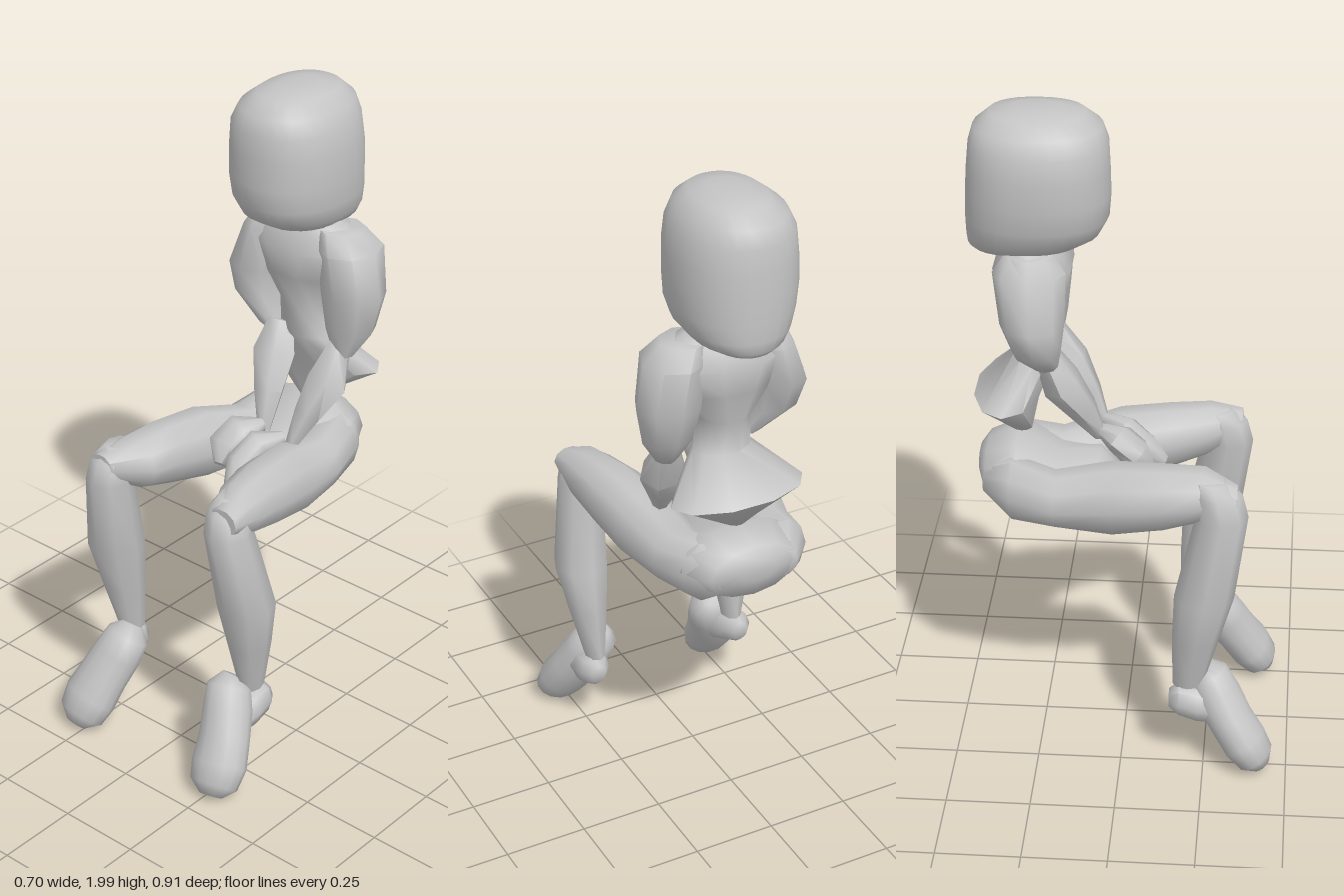
import * as THREE from 'three';
import { toCreasedNormals } from 'three/addons/utils/BufferGeometryUtils.js';

const grey = new THREE.MeshStandardMaterial({ color: 0xc4c4c4 });
grey.name = 'plain grey';

// Closed skin over rings [x, y, z, half width, half depth], each square to the path.
// A fixed axis keeps all rings parallel; power below 1 makes rings boxier.
function loft(name, rings, { sides = 8, axis = null, power = 1, crease = 1.05 } = {}) {
  const centres = rings.map(r => new THREE.Vector3(r[0], r[1], r[2]));
  const pos = [], index = [];
  const bend = v => Math.sign(v) * Math.pow(Math.abs(v), power);
  rings.forEach((r, i) => {
    const t = axis ? axis.clone() : centres[Math.min(i + 1, rings.length - 1)].clone()
      .sub(centres[Math.max(i - 1, 0)]).normalize();
    const side = new THREE.Vector3(1, 0, 0).addScaledVector(t, -t.x).normalize();
    const up = new THREE.Vector3().crossVectors(t, side);
    for (let j = 0; j < sides; j++) {
      const q = (j / sides) * Math.PI * 2;
      const p = centres[i].clone()
        .addScaledVector(side, r[3] * bend(Math.cos(q)))
        .addScaledVector(up, r[4] * bend(Math.sin(q)));
      pos.push(p.x, p.y, p.z);
    }
  });
  const last = rings.length - 1, first = rings.length * sides;
  pos.push(...centres[0].toArray(), ...centres[last].toArray());
  for (let j = 0; j < sides; j++) {
    const k = (j + 1) % sides;
    for (let i = 0; i < last; i++) {
      const a = i * sides, b = a + sides;
      index.push(a + j, a + k, b + j, a + k, b + k, b + j);
    }
    index.push(first, k, j, first + 1, last * sides + j, last * sides + k);
  }
  const g = new THREE.BufferGeometry();
  g.setAttribute('position', new THREE.Float32BufferAttribute(pos, 3));
  g.setIndex(index);
  const mesh = new THREE.Mesh(toCreasedNormals(g, crease), grey);
  mesh.name = name;
  return mesh;
}

export function createModel() {
  const model = new THREE.Group();
  model.name = 'seatedFigure';
  const down = new THREE.Vector3(0, -1, 0);
  const forward = new THREE.Vector3(0, 0, 1);

  // Large boxy head, lowest at the back
  model.add(loft('head', [
    [0.025, 2.0, -0.25, 0.05, 0.07],
    [0.025, 1.988, -0.25, 0.1, 0.135],
    [0.02, 1.95, -0.248, 0.143, 0.182],
    [0.018, 1.9, -0.247, 0.166, 0.198],
    [0.02, 1.83, -0.249, 0.174, 0.203],
    [0.02, 1.75, -0.25, 0.174, 0.206],
    [0.024, 1.68, -0.254, 0.167, 0.204],
    [0.027, 1.63, -0.267, 0.152, 0.19],
    [0.03, 1.598, -0.292, 0.125, 0.162],
    [0.03, 1.58, -0.31, 0.09, 0.13],
  ], { sides: 28, axis: down, power: 0.9, crease: 1.1 }));

  // Torso with broad shoulders, narrow waist and a flared, pointed hem
  model.add(loft('torso', [
    [0.04, 1.63, -0.27, 0.05, 0.05],
    [0.045, 1.59, -0.27, 0.16, 0.08],
    [0.045, 1.52, -0.27, 0.195, 0.118],
    [0.045, 1.43, -0.27, 0.145, 0.1],
    [0.045, 1.33, -0.27, 0.075, 0.075],
    [0.055, 1.23, -0.27, 0.09, 0.065],
    [0.045, 1.115, -0.35, 0.21, 0.1],
    [0.03, 0.99, -0.31, 0.03, 0.03],
  ], { sides: 10, axis: down }));

  // Upper arms
  model.add(loft('leftUpperArm', [
    [0.17, 1.592, -0.27, 0.07, 0.07],
    [0.205, 1.54, -0.27, 0.09, 0.105],
    [0.22, 1.4, -0.27, 0.097, 0.092],
    [0.22, 1.29, -0.26, 0.075, 0.07],
    [0.215, 1.21, -0.24, 0.03, 0.035],
  ], { axis: down }));
  model.add(loft('rightUpperArm', [
    [-0.07, 1.592, -0.27, 0.055, 0.07],
    [-0.08, 1.54, -0.27, 0.075, 0.105],
    [-0.125, 1.4, -0.26, 0.088, 0.092],
    [-0.115, 1.31, -0.25, 0.078, 0.07],
    [-0.05, 1.23, -0.23, 0.04, 0.035],
  ], { axis: down }));

  // Forearms reaching down to the lap
  model.add(loft('leftForearm', [
    [0.2, 1.24, -0.24, 0.03, 0.04],
    [0.195, 1.13, -0.185, 0.07, 0.06],
    [0.17, 1.04, -0.13, 0.045, 0.045],
    [0.15, 0.95, -0.08, 0.02, 0.02],
  ], { sides: 6 }));
  model.add(loft('rightForearm', [
    [-0.015, 1.25, -0.23, 0.045, 0.04],
    [-0.01, 1.16, -0.19, 0.075, 0.06],
    [0.02, 1.06, -0.13, 0.048, 0.045],
    [0.045, 0.96, -0.08, 0.02, 0.02],
  ], { sides: 6 }));

  // Hands folded between the thighs
  model.add(loft('rightHand', [
    [0.045, 0.98, -0.08, 0.02, 0.02],
    [0.005, 0.97, -0.02, 0.06, 0.04],
    [-0.01, 0.93, 0.03, 0.06, 0.045],
    [0.0, 0.89, 0.065, 0.02, 0.02],
  ]));
  model.add(loft('leftHand', [
    [0.13, 0.97, -0.07, 0.02, 0.02],
    [0.085, 0.96, -0.01, 0.045, 0.04],
    [0.065, 0.91, 0.05, 0.045, 0.045],
    [0.075, 0.86, 0.1, 0.025, 0.025],
  ]));

  // Pelvis, reaching forward between the thighs
  model.add(loft('pelvis', [
    [0.02, 0.89, -0.435, 0.06, 0.035],
    [0.02, 0.875, -0.41, 0.14, 0.08],
    [0.02, 0.873, -0.32, 0.19, 0.118],
    [0.03, 0.84, -0.2, 0.17, 0.078],
    [0.045, 0.84, -0.08, 0.1, 0.075],
    [0.06, 0.79, 0.0, 0.03, 0.035],
  ], { sides: 12, axis: forward }));

  // Thighs
  const thigh = (name, xs, ws) => model.add(loft(name, [
    [xs[0], 0.87, -0.415, ws[0], 0.04],
    [xs[1], 0.86, -0.33, ws[1], 0.1],
    [xs[2], 0.84, -0.2, ws[2], 0.085],
    [xs[3], 0.866, -0.03, ws[3], 0.112],
    [xs[4], 0.887, 0.12, ws[4], 0.1],
    [xs[5], 0.905, 0.24, ws[5], 0.08],
    [xs[6], 0.915, 0.335, ws[6], 0.04],
  ], { sides: 10, axis: forward }));
  thigh('leftThigh', [0.1, 0.12, 0.145, 0.175, 0.195, 0.22, 0.245], [0.04, 0.09, 0.095, 0.1, 0.095, 0.08, 0.048]);
  thigh('rightThigh', [-0.08, -0.105, -0.13, -0.16, -0.18, -0.185, -0.225], [0.04, 0.09, 0.095, 0.1, 0.095, 0.09, 0.045]);

  for (const [name, s] of [['left', 1], ['right', -1]]) {
    // Shin with a calf bulge
    model.add(loft(name + 'Shin', [
      [s * 0.22, 0.965, 0.26, 0.04, 0.045],
      [s * 0.225, 0.93, 0.28, 0.065, 0.07],
      [s * 0.23, 0.86, 0.292, 0.068, 0.076],
      [s * 0.257, 0.6, 0.245, 0.084, 0.088],
      [s * 0.25, 0.45, 0.222, 0.06, 0.07],
      [s * 0.24, 0.28, 0.2, 0.03, 0.045],
    ], { axis: down }));

    // Rounded foot pointing down and outward
    model.add(loft(name + 'Foot', [
      [s * 0.203, 0.322, 0.24, 0.035, 0.03],
      [s * 0.203, 0.295, 0.26, 0.068, 0.06],
      [s * 0.222, 0.235, 0.288, 0.076, 0.072],
      [s * 0.245, 0.165, 0.33, 0.08, 0.068],
      [s * 0.262, 0.1, 0.373, 0.088, 0.069],
      [s * 0.27, 0.05, 0.408, 0.077, 0.058],
      [s * 0.275, 0.022, 0.427, 0.038, 0.028],
    ], { sides: 14, crease: 1.2 }));

    // Heel joining the sole behind the ankle
    model.add(loft(name + 'Heel', [
      [s * 0.25, 0.235, 0.145, 0.025, 0.03],
      [s * 0.25, 0.235, 0.175, 0.048, 0.055],
      [s * 0.24, 0.22, 0.23, 0.06, 0.062],
      [s * 0.235, 0.2, 0.3, 0.055, 0.05],
    ], { axis: forward }));
  }
  return model;
}
